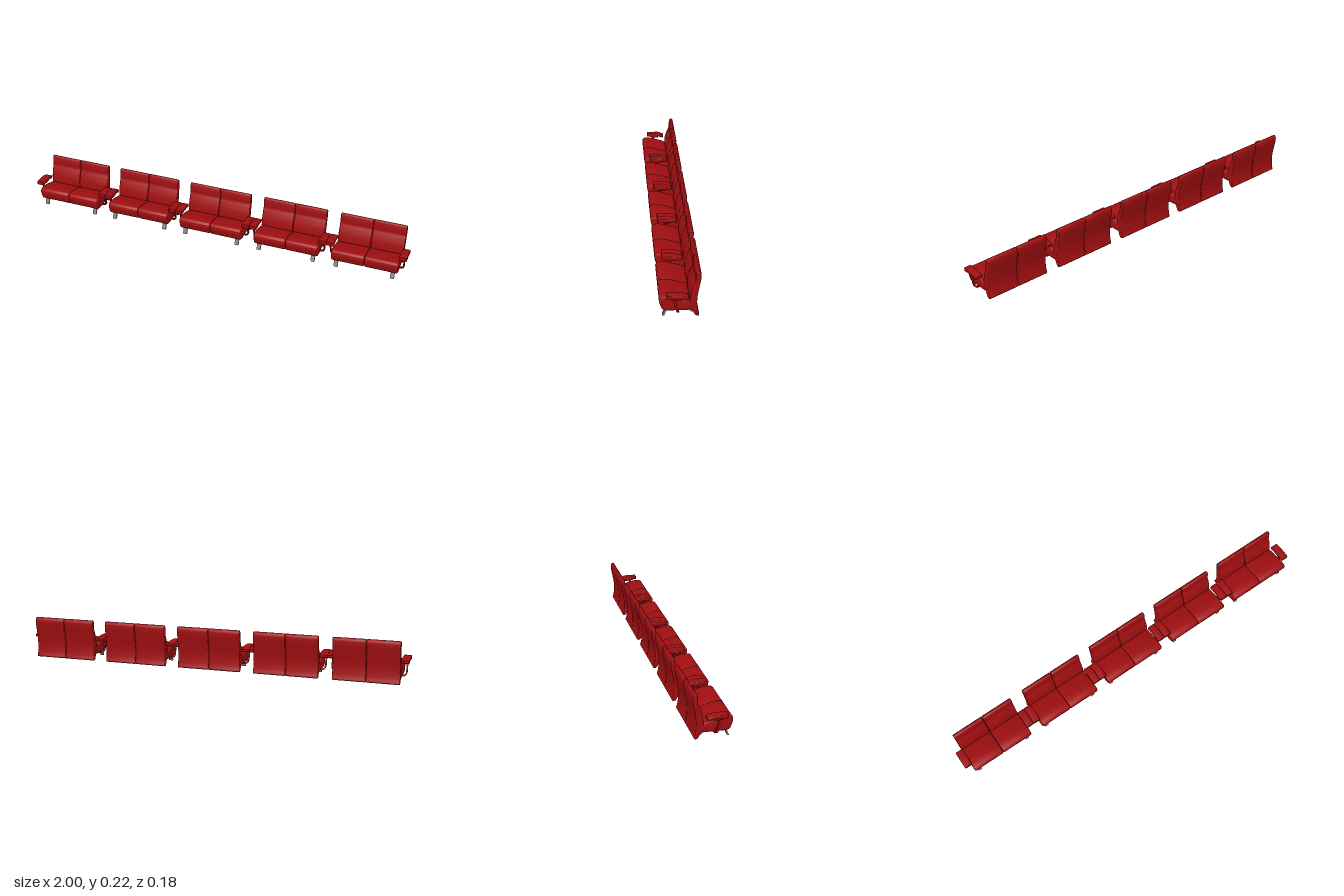
import * as THREE from 'three';
import { toCreasedNormals } from 'three/addons/utils/BufferGeometryUtils.js';

const red = new THREE.MeshStandardMaterial({ color: 0xa00e10 });
red.name = 'red upholstery';
const grey = new THREE.MeshStandardMaterial({ color: 0x888583 });
grey.name = 'grey metal';

// Side profiles as [z, y]
const SEAT = [[0.091, 0.086], [0.083, 0.097], [0.065, 0.1], [0.04, 0.098], [0, 0.087],
  [-0.028, 0.078], [-0.045, 0.07], [-0.066, 0.066], [-0.068, 0.04], [-0.05, 0.032], [0, 0.031],
  [0.06, 0.031], [0.076, 0.037], [0.086, 0.058]];
const BACK = [[-0.079, 0.217], [-0.071, 0.212], [-0.067, 0.19], [-0.066, 0.176], [-0.067, 0.168],
  [-0.058, 0.148], [-0.048, 0.122], [-0.042, 0.092], [-0.041, 0.07], [-0.047, 0.052],
  [-0.054, 0.028], [-0.068, 0.004], [-0.082, 0.004], [-0.077, 0.025], [-0.073, 0.065],
  [-0.075, 0.1], [-0.083, 0.145], [-0.09, 0.185], [-0.089, 0.208]];
const ARM = [[0.061, 0.122], [0, 0.122], [-0.033, 0.112], [-0.033, 0.101], [-0.028, 0.097],
  [-0.002, 0.104], [0.061, 0.104]];
const PAD = [[0.054, 0.105], [-0.004, 0.105], [-0.004, 0.096], [0.03, 0.097]];
const RAIL = [[0.064, 0.034], [-0.04, 0.034], [-0.063, 0.026], [-0.058, 0.017], [-0.05, 0.016],
  [-0.038, 0.026], [0.058, 0.026], [0.074, 0], [0.074, 0]].slice(0, 7)
  .concat([[0.068, 0], [0.077, 0]]);

// Extrude a side profile across x, centred on x = 0, with rounded side edges
function slab(profile, width, bevel, smooth) {
  let pts = profile.map(([z, y]) => new THREE.Vector3(z, y, 0));
  if (smooth) {
    pts = new THREE.CatmullRomCurve3(pts, true, 'centripetal').getPoints(64);
    pts.pop();
  }
  const shape = new THREE.Shape(pts.map(p => new THREE.Vector2(p.x, p.y)));
  const geo = new THREE.ExtrudeGeometry(shape, {
    depth: width - 2 * bevel, bevelEnabled: bevel > 0, bevelSize: bevel,
    bevelThickness: bevel, bevelOffset: -bevel, bevelSegments: 3,
  });
  geo.translate(0, 0, bevel - width / 2).rotateY(-Math.PI / 2);
  return toCreasedNormals(geo, 0.7);
}

// Bent strap carrying the armrest, leaning forwards as it rises
function strap() {
  const s = new THREE.Shape();
  s.moveTo(0.187, 0.1);
  s.lineTo(0.187, 0.052);
  s.quadraticCurveTo(0.187, 0.026, 0.165, 0.026);
  s.lineTo(0.12, 0.026);
  s.lineTo(0.12, 0.032);
  s.lineTo(0.163, 0.032);
  s.quadraticCurveTo(0.18, 0.032, 0.18, 0.052);
  s.lineTo(0.18, 0.1);
  const geo = new THREE.ExtrudeGeometry(s, { depth: 0.011, bevelEnabled: false, curveSegments: 8 });
  const p = geo.attributes.position;
  for (let i = 0; i < p.count; i++) p.setZ(i, p.getZ(i) + 0.004 + (p.getY(i) - 0.026) * 0.28);
  geo.computeVertexNormals();
  return toCreasedNormals(geo, 0.7);
}

const parts = {
  seatCushion: slab(SEAT, 0.165, 0.007, true),
  backrest: slab(BACK, 0.165, 0.004, true),
  armrest: slab(ARM, 0.039, 0.004, false),
  armrestPad: slab(PAD, 0.026, 0, false),
  legRail: slab(RAIL, 0.02, 0, false),
  strap: strap(),
};

function bench() {
  const g = new THREE.Group();
  const add = (name, mat, x) => {
    const m = new THREE.Mesh(parts[name], mat);
    m.name = name;
    m.position.x = x;
    g.add(m);
    return m;
  };
  for (const s of [-1, 1]) {
    add('seatCushion', red, s * 0.083);
    add('backrest', red, s * 0.083);
    add('armrest', red, s * 0.1805);
    add('armrestPad', red, s * 0.18);
    add('legRail', grey, s * 0.141);
    add('strap', red, 0).scale.x = s;
  }
  return g;
}

export function createModel() {
  const model = new THREE.Group();
  model.name = 'benchRow';
  for (let i = -2; i <= 2; i++) {
    const b = bench();
    b.name = 'bench' + (i + 3);
    b.position.x = i * 0.4;
    model.add(b);
  }
  return model;
}
